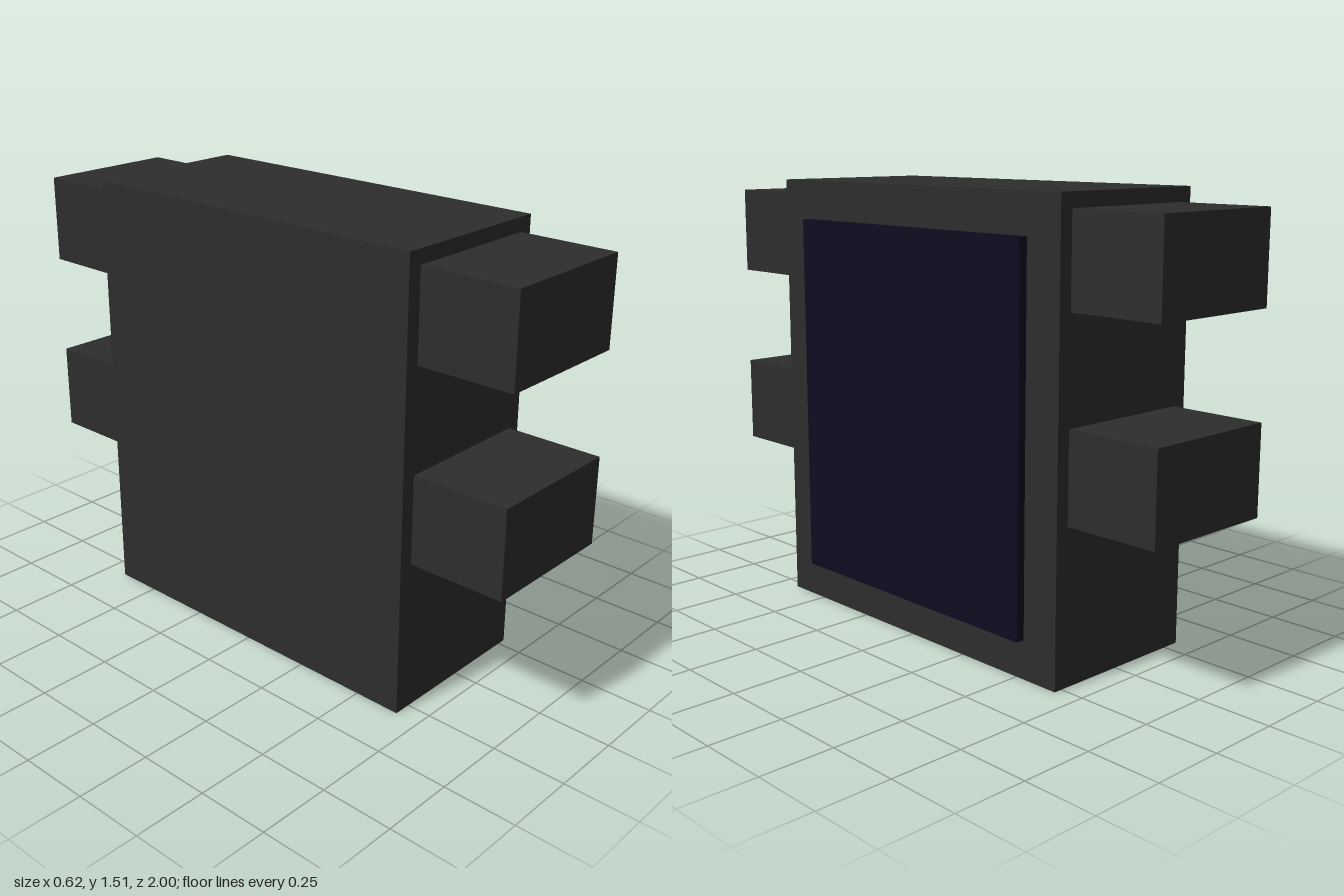
import * as THREE from 'three';

export function createModel() {
  const model = new THREE.Group();
  const casing = new THREE.MeshStandardMaterial({ color: 0x2d2d2d });
  casing.name = 'charcoal casing';
  const glass = new THREE.MeshStandardMaterial({ color: 0x0c0c20 });
  glass.name = 'dark navy glass';

  // Box given by its [min, max] range on each axis
  function box(name, material, [x0, x1], [y0, y1], [z0, z1]) {
    const mesh = new THREE.Mesh(new THREE.BoxGeometry(x1 - x0, y1 - y0, z1 - z0), material);
    mesh.position.set((x0 + x1) / 2, (y0 + y1) / 2, (z0 + z1) / 2);
    mesh.name = name;
    model.add(mesh);
  }

  // Case and the raised screen on its left face
  box('case', casing, [-0.31, 0.28], [0, 1.513], [-0.665, 0.665]);
  box('screen', glass, [0.28, 0.31], [0.13, 1.38], [-0.53, 0.53]);

  // Two lugs on the front and two on the back
  for (const [level, y] of [['lower', 0.517], ['upper', 1.165]]) {
    box(`${level}FrontLug`, casing, [-0.26, 0.233], [y, y + 0.3], [0.665, 1]);
    box(`${level}BackLug`, casing, [-0.26, 0.233], [y, y + 0.3], [-1, -0.665]);
  }

  return model;
}
